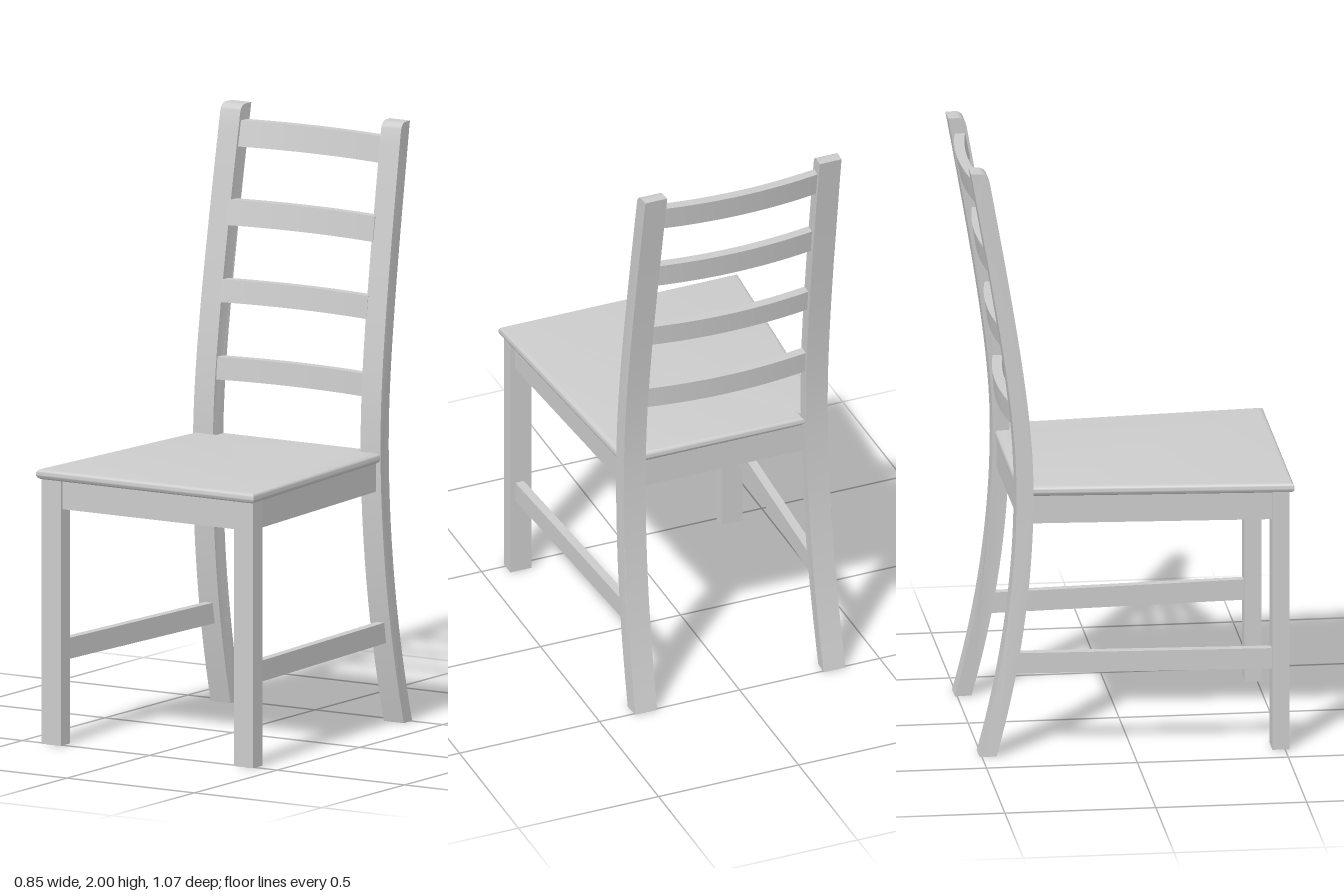
import * as THREE from 'three';
import { toCreasedNormals } from 'three/addons/utils/BufferGeometryUtils.js';

const mat = new THREE.MeshStandardMaterial({ color: 0xcccccc });

function add(group, name, geo) {
  const mesh = new THREE.Mesh(geo, mat);
  mesh.name = name;
  group.add(mesh);
  return mesh;
}

// Move every vertex by a rule, then smooth curved faces and keep corners sharp
function bend(geo, rule) {
  const p = geo.attributes.position;
  const v = new THREE.Vector3();
  for (let i = 0; i < p.count; i++) {
    v.fromBufferAttribute(p, i);
    rule(v);
    p.setXYZ(i, v.x, v.y, v.z);
  }
  geo.computeVertexNormals();
  return toCreasedNormals(geo, 0.5);
}

// Straight board between two floor-plan points
function board(group, name, [x0, z0], [x1, z1], y0, y1, thick) {
  const len = Math.hypot(x1 - x0, z1 - z0);
  const mesh = add(group, name, new THREE.BoxGeometry(thick, y1 - y0, len));
  mesh.position.set((x0 + x1) / 2, (y0 + y1) / 2, (z0 + z1) / 2);
  mesh.rotation.y = Math.atan2(x1 - x0, z1 - z0);
}

// Front face of the bowed rear posts at height y
function postFront(y) {
  const d = y - 0.9;
  if (d < 0) return -0.328 - 0.153 * d * d;
  return -0.328 - (Math.sqrt(0.0064 + (0.195 * d) ** 2) - 0.08);
}

// Rear leg and back post in one curved piece, leaning slightly inward
function rearPost(side) {
  const W = 0.078, D = 0.056, N = 36;
  const s = new THREE.Shape();
  s.moveTo(postFront(0), 0);
  for (let i = 1; i <= N; i++) {
    const y = (1.97 * i) / N;
    s.lineTo(postFront(y), y);
  }
  s.quadraticCurveTo(postFront(2), 2, postFront(2) - 0.025, 2);
  for (let i = N; i >= 0; i--) {
    const y = (2 * i) / N;
    s.lineTo(postFront(y) - D, y);
  }
  const geo = new THREE.ExtrudeGeometry(s, { depth: W, bevelEnabled: false, curveSegments: 6 });
  geo.rotateY(-Math.PI / 2);
  return bend(geo, (v) => {
    const outer = 0.375 - 0.0125 * v.y + 0.07 * (v.z - postFront(v.y) + D);
    v.x += side > 0 ? outer : W - outer;
  });
}

// Back slat: bowed in plan and tilted with the posts
function slat(y0, y1, back, tilt) {
  const T = 0.034, X = 0.287, N = 20;
  const bow = (x) => 0.025 * (x / 0.28) ** 2;
  const s = new THREE.Shape();
  for (let i = 0; i <= N; i++) {
    const x = -X + (2 * X * i) / N;
    const y = -(back + T + bow(x));
    if (i) s.lineTo(x, y);
    else s.moveTo(x, y);
  }
  for (let i = N; i >= 0; i--) {
    const x = -X + (2 * X * i) / N;
    s.lineTo(x, -(back + bow(x)));
  }
  const geo = new THREE.ExtrudeGeometry(s, { depth: y1 - y0, bevelEnabled: false });
  geo.rotateX(-Math.PI / 2);
  return bend(geo, (v) => {
    v.z += tilt * (1 - v.y / (y1 - y0));
    v.y += y0;
  });
}

// Tapered seat panel with rounded edges and a tongue between the posts
function seatPanel() {
  const r = 0.0175;
  const half = [[0.427, -0.53], [0.365, 0.335], [0.284, 0.335], [0.284, 0.378]];
  const s = new THREE.Shape();
  half.forEach(([x, y], i) => (i ? s.lineTo(x, y) : s.moveTo(x, y)));
  [...half].reverse().forEach(([x, y]) => s.lineTo(-x, y));
  s.closePath();
  const geo = new THREE.ExtrudeGeometry(s, {
    depth: 0.002, bevelThickness: r - 0.001, bevelSize: r, bevelOffset: -r, bevelSegments: 5,
  });
  geo.rotateX(-Math.PI / 2);
  geo.translate(0, 0.885 + r - 0.001, 0);
  return toCreasedNormals(geo, 0.7);
}

export function createModel() {
  const chair = new THREE.Group();
  chair.name = 'chair';

  add(chair, 'seat', seatPanel());

  // Legs, side aprons and stretchers, mirrored
  for (const side of [1, -1]) {
    const label = side > 0 ? 'left' : 'right';
    add(chair, label + 'RearPost', rearPost(side));
    const leg = add(chair, label + 'FrontLeg', new THREE.BoxGeometry(0.075, 0.888, 0.056));
    leg.position.set(side * 0.377, 0.444, 0.486);
    board(chair, label + 'SideApron', [side * 0.381, 0.47], [side * 0.331, -0.345], 0.79, 0.888, 0.034);
    board(chair, label + 'Stretcher', [side * 0.382, 0.47], [side * 0.335, -0.405], 0.275, 0.345, 0.03);
  }

  // Front and rear aprons
  board(chair, 'frontApron', [-0.35, 0.487], [0.35, 0.487], 0.79, 0.888, 0.034);
  board(chair, 'rearApron', [-0.3, -0.355], [0.3, -0.355], 0.79, 0.888, 0.032);

  // Ladder back: bottom, top, rear face depth, tilt
  [
    [1.1, 1.175, -0.41, 0.006],
    [1.355, 1.43, -0.437, 0.01],
    [1.607, 1.69, -0.478, 0.013],
    [1.862, 1.947, -0.535, 0.016],
  ].forEach((a, i) => add(chair, 'backSlat' + (i + 1), slat(...a)));

  return chair;
}
